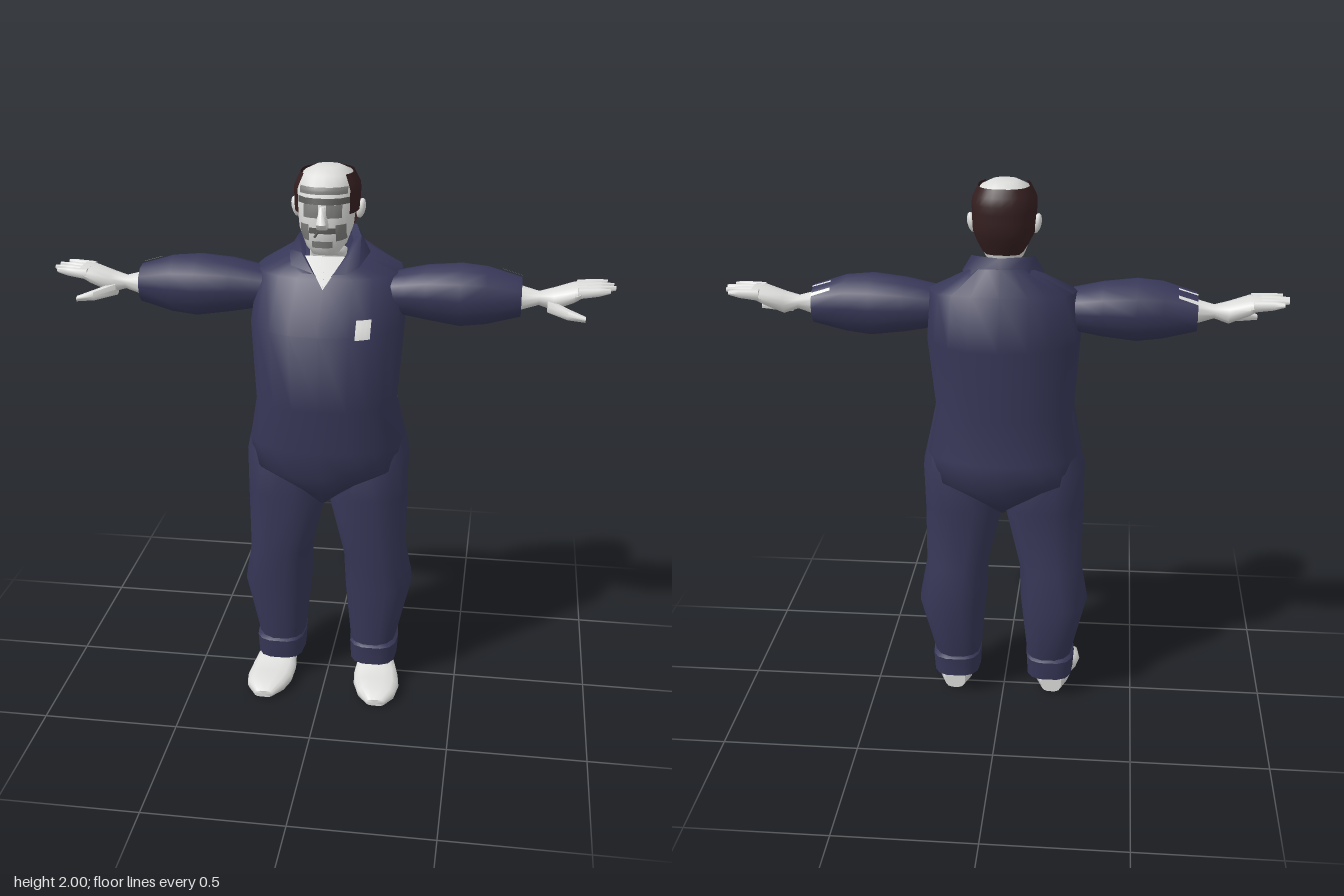
import * as THREE from 'three';
import { toCreasedNormals } from 'three/addons/utils/BufferGeometryUtils.js';

const mat = (name, color) => {
  const m = new THREE.MeshStandardMaterial({ color, side: THREE.DoubleSide });
  m.name = name;
  return m;
};

// A section is [t, a0, a1, b0, b1]: a position along the axis and two extents across it.
const place = {
  x: (t, a, b) => [t, b, a], // a = z, b = y
  y: (t, a, b) => [a, t, b], // a = x, b = z
  z: (t, a, b) => [a, b, t], // a = x, b = y
};
const bend = (v, n) => Math.sign(v) * Math.pow(Math.abs(v), 2 / n);

function build(pos, idx, crease) {
  const g = new THREE.BufferGeometry();
  g.setAttribute('position', new THREE.Float32BufferAttribute(pos, 3));
  g.setIndex(idx);
  return toCreasedNormals(g, crease);
}

// Closed skin through superellipse sections, turned outwards whatever the axis or side
function loft(axis, secs, { n = 2.4, sides = 14, s = 1, tilt = [], crease = 1 } = {}) {
  const pos = [], idx = [];
  const add = (t, a, b) => { const p = place[axis](t, a, b); pos.push(p[0] * s, p[1], p[2]); };
  secs.forEach(([t, a0, a1, b0, b1], i) => {
    for (let k = 0; k < sides; k++) {
      const w = (k / sides) * Math.PI * 2, v = bend(Math.sin(w), n);
      add(t - (tilt[i] || 0) * v, (a0 + a1) / 2 + ((a1 - a0) / 2) * bend(Math.cos(w), n),
        (b0 + b1) / 2 + ((b1 - b0) / 2) * v);
    }
  });
  const last = (secs.length - 1) * sides, c = secs.length * sides;
  for (const [t, a0, a1, b0, b1] of [secs[0], secs[secs.length - 1]]) add(t, (a0 + a1) / 2, (b0 + b1) / 2);
  for (let k = 0; k < sides; k++) {
    const j = (k + 1) % sides;
    for (let r = 0; r < last; r += sides) idx.push(r + k, r + j, r + sides + j, r + k, r + sides + j, r + sides + k);
    idx.push(c, j, k, c + 1, last + k, last + j);
  }
  let volume = 0;
  const P = (i) => new THREE.Vector3().fromArray(pos, i * 3), o = P(c);
  for (let i = 0; i < idx.length; i += 3) {
    const [p, q, r] = [0, 1, 2].map((k) => P(idx[i + k]).sub(o));
    volume += p.dot(q.cross(r));
  }
  if (volume < 0) idx.reverse();
  return build(pos, idx, crease);
}

// Open sheet from rows of points
function sheet(rows) {
  const idx = [], w = rows[0].length;
  for (let r = 0; r < rows.length - 1; r++) for (let k = 0; k < w - 1; k++) {
    const i = r * w + k;
    idx.push(i, i + 1, i + w + 1, i, i + w + 1, i + w);
  }
  return build(rows.flat(2), idx, 1.2);
}

// Upper or front surface of a loft at (t, a)
function surface(secs, n, t, a) {
  let i = 0;
  while (i < secs.length - 2 && t > secs[i + 1][0]) i++;
  const f = (t - secs[i][0]) / (secs[i + 1][0] - secs[i][0]);
  const [a0, a1, b0, b1] = [1, 2, 3, 4].map((k) => THREE.MathUtils.lerp(secs[i][k], secs[i + 1][k], f));
  const u = Math.min(1, Math.abs((a - (a0 + a1) / 2) / ((a1 - a0) / 2)));
  return (b0 + b1) / 2 + ((b1 - b0) / 2) * Math.pow(1 - Math.pow(u, n), 1 / n);
}

// Thin painted patch that follows a loft
function patch(axis, secs, n, t0, t1, a0, a1, s = 1) {
  const rows = [];
  for (let r = 0; r <= 3; r++) {
    const row = [];
    for (let k = 0; k <= 6; k++) {
      const t = t0 + ((t1 - t0) * r) / 3, a = a0 + ((a1 - a0) * k) / 6;
      const p = place[axis](t, a, surface(secs, n, t, a) + 0.005);
      row.push([p[0] * s, p[1], p[2]]);
    }
    rows.push(row);
  }
  return sheet(rows);
}

const torso = [
  [0.79, -0.02, 0.02, -0.10, 0.16], [0.84, -0.11, 0.11, -0.15, 0.19], [0.92, -0.27, 0.27, -0.21, 0.235],
  [1.02, -0.285, 0.285, -0.22, 0.245], [1.18, -0.255, 0.255, -0.175, 0.255], [1.46, -0.275, 0.275, -0.27, 0.27],
  [1.63, -0.26, 0.26, -0.21, 0.11], [1.70, -0.12, 0.12, -0.17, 0.08],
];
const head = [
  [1.62, -0.06, 0.06, -0.09, 0.07], [1.70, -0.065, 0.065, -0.08, 0.08], [1.715, -0.05, 0.05, -0.06, 0.135],
  [1.74, -0.07, 0.07, -0.07, 0.153], [1.80, -0.092, 0.092, -0.08, 0.16], [1.87, -0.1, 0.1, -0.09, 0.157],
  [1.94, -0.102, 0.102, -0.1, 0.142], [1.98, -0.084, 0.084, -0.08, 0.115], [2.0, -0.045, 0.045, -0.035, 0.07],
];
const leg = [
  [0.17, 0.09, 0.265, -0.11, 0.11], [0.41, 0.065, 0.322, -0.165, 0.13], [0.55, 0.06, 0.296, -0.135, 0.135],
  [0.80, 0, 0.298, -0.14, 0.158], [0.96, 0.03, 0.3, -0.15, 0.15], [1.16, 0.08, 0.255, -0.08, 0.08],
];
const cuff = [[0.09, 0.092, 0.27, -0.115, 0.115], [0.165, 0.088, 0.275, -0.12, 0.12], [0.18, 0.1, 0.26, -0.1, 0.1]];
const shoe = [
  [-0.055, 0.15, 0.23, 0, 0.08], [0, 0.125, 0.255, 0, 0.1], [0.06, 0.12, 0.272, 0.014, 0.095],
  [0.1, 0.115, 0.285, 0.008, 0.072], [0.16, 0.12, 0.294, 0, 0.06], [0.22, 0.14, 0.285, 0, 0.055],
  [0.265, 0.18, 0.25, 0.004, 0.03],
];
const sleeve = [
  [0.2, -0.09, 0.07, 1.49, 1.62], [0.27, -0.105, 0.08, 1.475, 1.637], [0.35, -0.115, 0.09, 1.46, 1.655],
  [0.47, -0.115, 0.105, 1.443, 1.668], [0.56, -0.1, 0.092, 1.453, 1.66], [0.68, -0.085, 0.065, 1.485, 1.622],
];
const palm = [
  [0.66, -0.05, 0.045, 1.505, 1.6], [0.74, -0.03, 0.025, 1.53, 1.578], [0.79, -0.055, 0.045, 1.515, 1.59],
  [0.86, -0.075, 0.065, 1.548, 1.61], [0.9, -0.075, 0.06, 1.575, 1.612],
];
const thumb = [[0.77, 0, 0.045, 1.51, 1.56], [0.84, 0.045, 0.095, 1.5, 1.54], [0.9, 0.075, 0.105, 1.5, 1.52]];

export function createModel() {
  const model = new THREE.Group();
  const navy = mat('navy cloth', 0x373758), skin = mat('pale skin', 0xdcdcda), hairMat = mat('dark brown hair', 0x351f20);
  const grey = mat('grey marks', 0x7c7c7a), dark = mat('dark grey marks', 0x5c5c5b);
  const add = (name, geometry, material) => {
    const m = new THREE.Mesh(geometry, material);
    m.name = name;
    model.add(m);
    return m;
  };

  add('torso', loft('y', torso, { sides: 20, tilt: [0, 0, 0, 0, 0, 0, 0.01, 0.03] }), navy);
  add('chestBadge', patch('y', torso, 2.4, 1.452, 1.51, 0.125, 0.175), skin);
  add('head', loft('y', head, { n: 2.5, sides: 20 }), skin);

  // Open neckline and folded collar
  add('neckline', sheet([[[-0.07, 1.70, 0.09], [0, 1.70, 0.095], [0.07, 1.70, 0.09]],
    [[0, 1.595, 0.15], [0, 1.595, 0.152], [0, 1.595, 0.15]]]), skin);
  const half = [
    [[0, 1.745, -0.11], [0, 1.765, -0.155], [0, 1.70, -0.18]],
    [[0.07, 1.745, -0.09], [0.085, 1.765, -0.125], [0.105, 1.695, -0.155]],
    [[0.085, 1.73, -0.02], [0.112, 1.745, -0.03], [0.145, 1.69, -0.03]],
    [[0.07, 1.70, 0.07], [0.085, 1.705, 0.075], [0.12, 1.665, 0.095]],
    [[0.025, 1.635, 0.128], [0.035, 1.645, 0.13], [0.075, 1.645, 0.125]],
  ];
  const flip = half.slice(1).reverse().map((row) => row.map(([x, y, z]) => [-x, y, z]));
  add('collar', sheet([...flip, ...half]), navy);

  // Hair wraps the sides and back and leaves the crown bald
  const girth = [[1.75, 0.7], [1.83, 0.97], [1.94, 1], [1.985, 0.8]];
  const rows = [];
  for (let r = 0; r <= 8; r++) {
    const row = [];
    for (let k = 0; k <= 20; k++) {
      const w = THREE.MathUtils.degToRad(48 + (264 * k) / 20), back = Math.max(0, -Math.cos(w));
      const low = 1.855 - 0.1 * Math.min(1, back * 1.5), y = low + ((1.985 - low) * r) / 8;
      const i = y < 1.83 ? 0 : y < 1.94 ? 1 : 2;
      const f = THREE.MathUtils.mapLinear(y, girth[i][0], girth[i + 1][0], girth[i][1], girth[i + 1][1]);
      row.push([0.114 * f * bend(Math.sin(w), 2.5), y, 0.02 + 0.132 * f * bend(Math.cos(w), 2.5)]);
    }
    rows.push(row);
  }
  add('hair', sheet(rows), hairMat);

  // Face: nose, brow band, glasses, beard and cigarette
  add('nose', loft('y', [[1.81, -0.022, 0.022, 0.13, 0.175], [1.83, -0.022, 0.022, 0.13, 0.194],
    [1.885, -0.01, 0.01, 0.13, 0.165]], { sides: 8 }), skin);
  const mark = (name, m, y0, y1, x0, x1) => add(name, patch('y', head, 2.5, y0, y1, x0, x1), m);
  mark('browBand', grey, 1.925, 1.948, -0.082, 0.082);
  mark('glassesBar', dark, 1.892, 1.913, -0.088, 0.088);
  mark('moustache', dark, 1.795, 1.815, -0.045, 0.045);
  mark('chinBeard', grey, 1.745, 1.768, -0.035, 0.035);
  for (const s of [-1, 1]) {
    mark('lens', grey, 1.848, 1.892, s * 0.04 - 0.026, s * 0.04 + 0.026);
    mark('cheekBeard', grey, 1.768, 1.825, s * 0.062 - 0.016, s * 0.062 + 0.016);
    const ear = add('ear', new THREE.SphereGeometry(1, 8, 6), skin);
    ear.scale.set(0.016, 0.036, 0.024);
    ear.position.set(s * 0.114, 1.853, 0.005);
    ear.rotation.z = -s * 0.2;
  }
  const cigarette = add('cigarette', new THREE.CylinderGeometry(0.004, 0.004, 0.08, 6), dark);
  cigarette.rotation.x = Math.PI / 2;
  cigarette.position.set(-0.015, 1.8, 0.185);

  // Limbs, mirrored
  for (const s of [1, -1]) {
    const side = s > 0 ? 'left' : 'right';
    add(side + 'Leg', loft('y', leg, { n: 2.6, s }), navy);
    add(side + 'Cuff', loft('y', cuff, { n: 3, s, crease: 0.7 }), navy);
    add(side + 'Shoe', loft('z', shoe, { n: 2.8, s }), skin);
    add(side + 'Sleeve', loft('x', sleeve, { n: 2.2, sides: 12, s }), navy);
    for (const z of [-0.072, -0.041])
      add(side + 'SleeveStripe', patch('x', sleeve, 2.2, 0.612, 0.68, z - 0.004, z + 0.004, s), skin);
    add(side + 'Palm', loft('x', palm, { sides: 12, s }), skin);
    add(side + 'Thumb', loft('x', thumb, { sides: 8, s }), skin);
    [[-0.058, 0.975, -0.076], [-0.022, 0.995, -0.034], [0.014, 1, 0.006], [0.045, 0.98, 0.048]].forEach(([z, tip, zt]) =>
      add(side + 'Finger', loft('x', [[0.87, z - 0.018, z + 0.018, 1.568, 1.61],
        [0.94, (z + zt) / 2 - 0.015, (z + zt) / 2 + 0.015, 1.58, 1.612],
        [tip, zt - 0.008, zt + 0.008, 1.593, 1.609]], { sides: 8, s }), skin));
  }
  return model;
}
